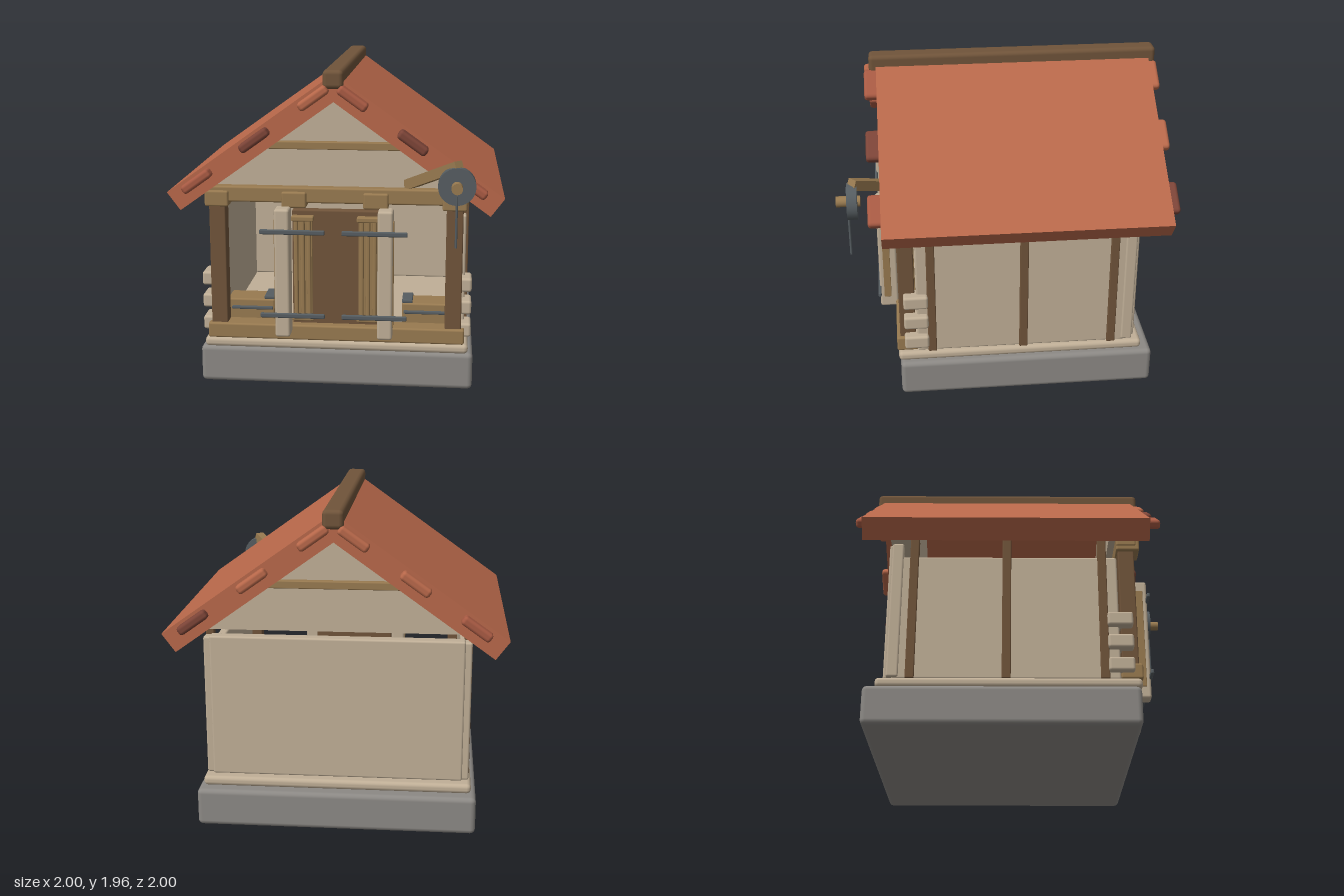
import * as THREE from 'three';
import { RoundedBoxGeometry } from 'three/addons/geometries/RoundedBoxGeometry.js';

const mat = (name, color, side = THREE.FrontSide) => {
  const m = new THREE.MeshStandardMaterial({ color, side });
  m.name = name;
  return m;
};

export function createModel() {
  const plaster = mat('plaster', 0xc0af97);
  const wood = mat('wood', 0x987a50);
  const darkWood = mat('darkWood', 0x70543a);
  const stone = mat('stone', 0x8c8985);
  const metal = mat('metal', 0x565d61);
  const roofRed = mat('roofRed', 0xb8684a);
  const tileRed = mat('tileRed', 0xa85a43);
  const tileDark = mat('tileDark', 0x7c4437);

  const model = new THREE.Group();
  model.name = 'hut';
  const add = (name, geo, material, x = 0, y = 0, z = 0) => {
    const mesh = new THREE.Mesh(geo, material);
    mesh.name = name;
    mesh.position.set(x, y, z);
    model.add(mesh);
    return mesh;
  };
  // Rounded block given by its limits on each axis
  const block = (name, material, [x0, x1], [y0, y1], [z0, z1], r = 0.012) => {
    const w = x1 - x0, h = y1 - y0, d = z1 - z0;
    const radius = Math.min(r, w * 0.45, h * 0.45, d * 0.45);
    return add(name, new RoundedBoxGeometry(w, h, d, 2, radius), material,
      (x0 + x1) / 2, (y0 + y1) / 2, (z0 + z1) / 2);
  };
  // The same block on both sides
  const pair = (name, material, [x0, x1], y, z, r) => {
    block(name + 'Left', material, [x0, x1], y, z, r);
    block(name + 'Right', material, [-x1, -x0], y, z, r);
  };
  const prism = (points, z0, z1) => {
    const shape = new THREE.Shape(points.map(([x, y]) => new THREE.Vector2(x, y)));
    const geo = new THREE.ExtrudeGeometry(shape, { depth: z1 - z0, bevelEnabled: false });
    return geo.translate(0, 0, z0);
  };

  // Foundation and floor
  block('foundation', stone, [-0.84, 0.84], [0, 0.232], [-0.905, 0.67], 0.03);
  block('floorSlab', plaster, [-0.81, 0.81], [0.232, 0.292], [-0.84, 0.68], 0.025);

  // Walls with upright timbers
  pair('sideWall', plaster, [0.73, 0.785], [0.29, 1.075], [-0.75, 0.56]);
  block('backWall', plaster, [-0.755, 0.755], [0.3, 1.17], [-0.8, -0.72]);
  pair('backCorner', plaster, [0.74, 0.795], [0.3, 1.16], [-0.78, -0.71]);
  for (const z of [0.47, -0.095, -0.645]) {
    pair('wallTimber', darkWood, [0.75, 0.8], [0.29, 1.19], [z - 0.026, z + 0.026], 0.006);
  }

  // Corner stones
  for (const y of [0.33, 0.473, 0.615]) {
    pair('cornerStone', plaster, [0.72, 0.825], [y, y + 0.086], [0.49, 0.64], 0.016);
  }

  // Front frame
  block('sill', wood, [-0.785, 0.785], [0.295, 0.39], [0.56, 0.688]);
  block('topBeam', wood, [-0.79, 0.79], [1.155, 1.25], [0.56, 0.68]);
  pair('frontPost', darkWood, [0.665, 0.765], [0.38, 1.17], [0.57, 0.667], 0.008);
  pair('cornerBracket', wood, [0.64, 0.785], [1.128, 1.225], [0.56, 0.7]);
  pair('doorBracket', wood, [0.17, 0.32], [1.128, 1.225], [0.57, 0.7]);

  // Door with slatted panels
  block('door', darkWood, [-0.265, 0.265], [0.375, 1.105], [0.575, 0.63]);
  pair('slatBacking', wood, [0.14, 0.255], [0.45, 1.04], [0.62, 0.642], 0.006);
  for (const x of [0.16, 0.198, 0.238]) {
    pair('slat', wood, [x - 0.012, x + 0.012], [0.43, 1.06], [0.63, 0.668], 0.008);
  }
  for (const y of [0.415, 1.04]) {
    pair('slatRail', wood, [0.13, 0.265], [y, y + 0.032], [0.62, 0.675], 0.008);
  }

  // Shutters beside the door, with inlay strips and iron straps
  pair('shutter', plaster, [0.262, 0.353], [0.345, 1.138], [0.67, 0.787], 0.016);
  pair('shutterInlay', wood, [0.35, 0.358], [0.42, 1.07], [0.715, 0.76], 0.003);
  for (const y of [0.485, 1.002]) {
    pair('ironStrap', metal, [0.05, 0.44], [y - 0.015, y + 0.015], [0.777, 0.797], 0.008);
  }

  // Benches inside the open front
  pair('bench', wood, [0.4, 0.7], [0.292, 0.49], [0.32, 0.5]);
  pair('benchBand', metal, [0.41, 0.67], [0.425, 0.445], [0.48, 0.515], 0.006);
  pair('benchPlate', metal, [0.4, 0.465], [0.49, 0.512], [0.34, 0.5], 0.006);

  // Gables with tie beams
  const gable = [[-0.77, 1.215], [0.77, 1.215], [0.0, 1.772]];
  add('frontGable', prism(gable, 0.52, 0.62), plaster);
  add('backGable', prism(gable, -0.8, -0.66), plaster);
  block('frontTie', wood, [-0.4, 0.4], [1.477, 1.523], [0.58, 0.66], 0.006);
  block('backTie', wood, [-0.4, 0.4], [1.477, 1.523], [-0.84, -0.76], 0.006);

  // Roof slopes and ridge
  add('roofRight', prism([[-1, 1.22], [-0.92, 1.112], [0, 1.772], [0, 1.935]], -0.945, 0.745), roofRed);
  add('roofLeft', prism([[1, 1.22], [0, 1.935], [0, 1.772], [0.92, 1.112]], -0.945, 0.745), roofRed);
  block('ridge', darkWood, [-0.06, 0.06], [1.85, 1.96], [-0.988, 0.788], 0.026);

  // Tile ends along both roof edges
  const slope = Math.atan(0.715);
  const tileGeo = new RoundedBoxGeometry(0.2, 0.056, 0.12, 2, 0.02);
  const rows = [
    { z: 0.76, mats: [tileRed, tileDark, roofRed, tileRed, tileDark, tileRed] },
    { z: -0.937, mats: [tileRed, roofRed, roofRed, roofRed, roofRed, tileDark] },
  ];
  for (const { z, mats } of rows) {
    [-0.81, -0.463, -0.115, 0.115, 0.463, 0.81].forEach((x, i) => {
      const tile = add('tileEnd', tileGeo, mats[i], x, 1.88 - 0.718 * Math.abs(x), z);
      tile.rotation.z = x < 0 ? slope : -slope;
    });
  }

  // Hoist: slanted arm, wheel, hub and hanging line
  const from = new THREE.Vector3(0.43, 1.265, 0.6), to = new THREE.Vector3(0.73, 1.44, 0.905);
  const arm = add('hoistArm', new THREE.BoxGeometry(0.06, 0.06, from.distanceTo(to)), wood);
  arm.position.copy(from).lerp(to, 0.5);
  arm.lookAt(to);
  const disc = (name, r, z0, z1, material) => add(name,
    new THREE.CylinderGeometry(r, r, z1 - z0, 28).rotateX(Math.PI / 2), material, 0.72, 1.325, (z0 + z1) / 2);
  disc('hoistWheel', 0.108, 0.876, 0.936, metal);
  disc('hoistHub', 0.032, 0.86, 1.0, wood);
  add('hoistLine', new THREE.CylinderGeometry(0.007, 0.007, 0.3, 8), metal, 0.72, 1.12, 0.932);

  return model;
}
